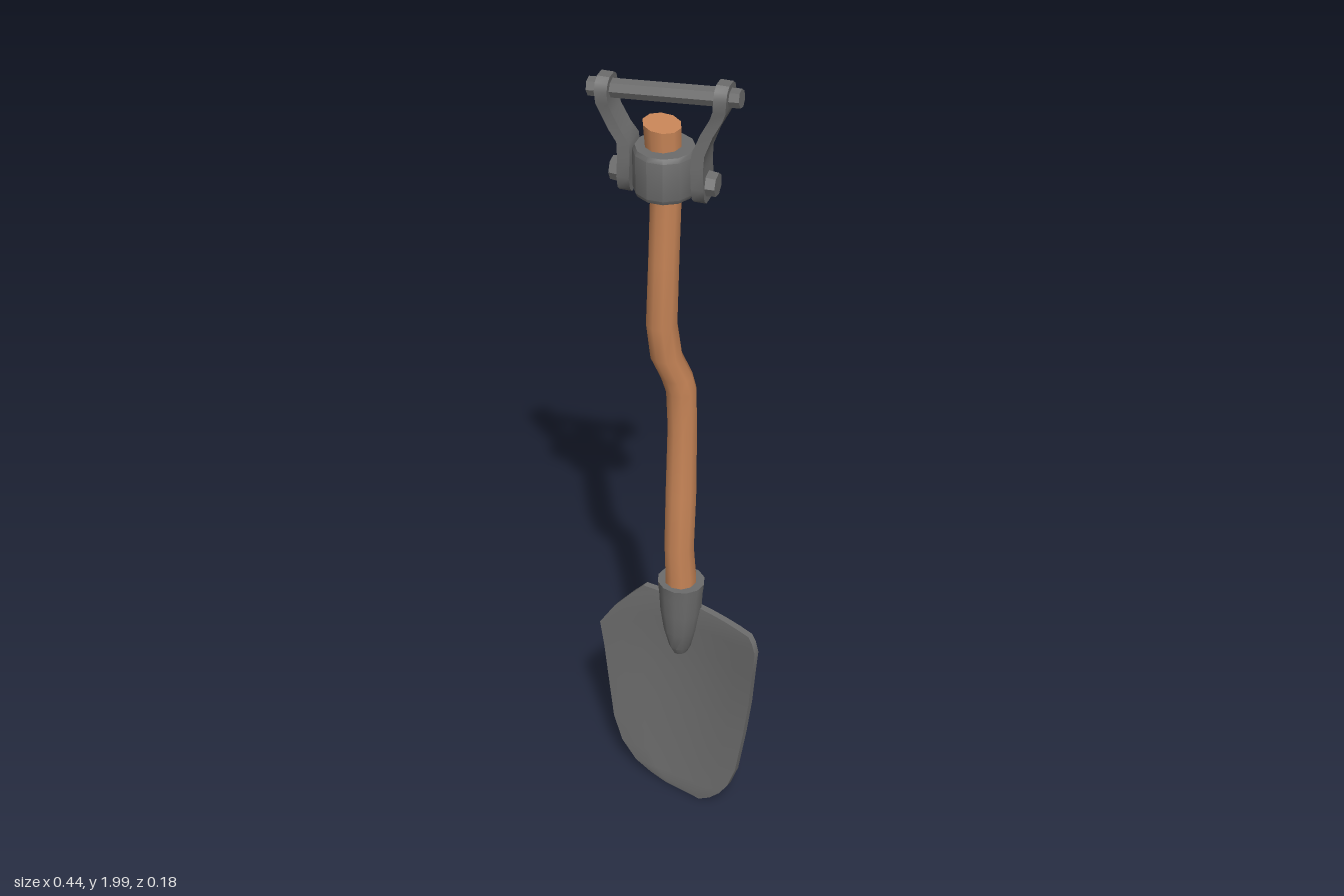
import * as THREE from 'three';
import { toCreasedNormals } from 'three/addons/utils/BufferGeometryUtils.js';

// Skin a stack of rings (counterclockwise from above, bottom to top) and close both ends
function loft(rings, crease = 0.6) {
  const n = rings[0].length, index = [];
  const quad = (a, b, c, d) => index.push(a, b, c, a, c, d);
  for (let i = 0; i < rings.length - 1; i++) {
    for (let j = 0; j < n; j++) {
      const k = (j + 1) % n;
      quad(i * n + j, i * n + k, (i + 1) * n + k, (i + 1) * n + j);
    }
  }
  const top = (rings.length - 1) * n;
  for (let j = 0; j < n / 2 - 1; j++) {
    quad(n - 1 - j, n - 2 - j, j + 1, j);
    quad(top + j, top + j + 1, top + n - 2 - j, top + n - 1 - j);
  }
  const g = new THREE.BufferGeometry();
  g.setAttribute('position', new THREE.Float32BufferAttribute(rings.flat(2), 3));
  g.setIndex(index);
  return toCreasedNormals(g.toNonIndexed(), crease);
}

// Elliptical ring around (x, y, z)
function ring(x, y, z, rx, rz, sides, slope = 0) {
  return Array.from({ length: sides }, (_, i) => {
    const a = ((i + 0.5) / sides) * Math.PI * 2;
    return [x + Math.cos(a) * rx, y + Math.cos(a) * rx * slope, z - Math.sin(a) * rz];
  });
}

export function createModel() {
  const wood = new THREE.MeshStandardMaterial({ color: 0xc98658 });
  wood.name = 'wood';
  const metal = new THREE.MeshStandardMaterial({ color: 0x6c6c6c });
  metal.name = 'metal';

  const model = new THREE.Group();
  model.name = 'shovel';
  const add = (name, geometry, material, parent = model) => {
    const mesh = new THREE.Mesh(geometry, material);
    mesh.name = name;
    parent.add(mesh);
    return mesh;
  };

  // Crooked shaft: y, x, z, radius
  const shaft = [
    [0.55, 0.0, -0.034, 0.036], [0.66, 0.0, -0.034, 0.038], [0.75, 0.0, -0.027, 0.036],
    [0.9, 0.0, -0.034, 0.037], [1.08, 0.0, -0.039, 0.035], [1.19, 0.0, -0.034, 0.036],
    [1.23, -0.006, -0.025, 0.037], [1.29, -0.02, -0.004, 0.037], [1.38, -0.023, 0.009, 0.036],
    [1.55, -0.014, 0.013, 0.035], [1.7, -0.01, 0.011, 0.035], [1.88, -0.013, 0.02, 0.042],
  ];
  add('shaft', loft(shaft.map(([y, x, z, r], i) =>
    ring(x, y, z, r, r, 10, i === shaft.length - 1 ? -0.12 : 0)), 0.7), wood);

  // Blade rows: left and right outline points, dished across and curving forward at the tip
  const outline = [
    [-0.02, 0.008, 0.08, 0.004], [-0.065, 0.02, 0.11, 0.022], [-0.11, 0.04, 0.138, 0.05],
    [-0.153, 0.085, 0.16, 0.085], [-0.18, 0.15, 0.178, 0.14], [-0.2, 0.27, 0.194, 0.26],
    [-0.212, 0.36, 0.206, 0.36], [-0.222, 0.43, 0.214, 0.45], [-0.185, 0.49, 0.222, 0.525],
    [-0.143, 0.54, 0.213, 0.55], [-0.108, 0.578, 0.2, 0.566],
  ];
  const cols = 9;
  const bladeRings = outline.map(([xl, yl, xr, yr], row) => {
    const front = [], back = [];
    for (let c = 0; c < cols; c++) {
      const t = c / (cols - 1);
      const x = xl + (xr - xl) * t, y = yl + (yr - yl) * t;
      const low = Math.max(0, 1 - y / 0.45);
      const z = -0.051 + 0.045 * low ** 1.6 + 0.6 * x * x * (1 - 0.5 * low) - 0.03 * x;
      const rim = c === 0 || c === cols - 1 || row === 0 || row === outline.length - 1;
      const half = rim ? 0.008 : 0.011;
      front.push([x, y, z + half]);
      back.unshift([x, y, z - half]);
    }
    return [...front, ...back];
  });
  add('blade', loft(bladeRings), metal);

  // Tapered socket gripping the shaft: y, x radius, z radius
  const socket = [
    [0.428, 0.017, 0.022], [0.45, 0.027, 0.033], [0.5, 0.04, 0.045],
    [0.56, 0.051, 0.05], [0.61, 0.054, 0.052], [0.643, 0.058, 0.054],
  ];
  add('socket', loft(socket.map(([y, rx, rz]) => ring(0, y, -0.036, rx, rz, 12))), metal);

  // Grip assembly, turned a little about the shaft
  const grip = new THREE.Group();
  grip.name = 'grip';
  grip.position.set(-0.007, 0, 0.018);
  grip.rotation.y = 0.27;
  model.add(grip);

  add('collar', loft([
    ring(0, 1.722, 0, 0.064, 0.064, 12), ring(0, 1.732, 0, 0.069, 0.069, 12),
    ring(0, 1.82, 0, 0.069, 0.069, 12), ring(0, 1.83, 0, 0.064, 0.064, 12),
  ]), metal, grip);

  // Bent flat arms with rounded ends: y, distance out, half width
  const arm = [
    [1.715, 0.083, 0.014], [1.727, 0.083, 0.027], [1.755, 0.083, 0.034], [1.8, 0.081, 0.033],
    [1.835, 0.083, 0.031], [1.87, 0.1, 0.029], [1.91, 0.121, 0.028], [1.93, 0.128, 0.032],
    [1.957, 0.13, 0.034], [1.975, 0.13, 0.027], [1.985, 0.13, 0.014],
  ];
  for (const side of [1, -1]) {
    const label = side > 0 ? 'left' : 'right';
    add(label + 'Arm', loft(arm.map(([y, out, w]) => {
      const u = side * out, t = 0.014;
      const h = y + (y > 1.84 ? side * 0.011 : 0);
      return [[u - t, h, w], [u + t, h, w], [u + t, h, -w], [u - t, h, -w]];
    })), metal, grip);

    const bolt = add(label + 'Bolt', new THREE.CylinderGeometry(0.026, 0.03, 0.04, 7).toNonIndexed(), metal, grip);
    bolt.geometry = toCreasedNormals(bolt.geometry, 0.5);
    bolt.position.set(side * 0.098, 1.757, 0);
    bolt.rotation.z = -side * Math.PI / 2;
  }

  // Crossbar through the arm tops
  const bar = add('crossbar', toCreasedNormals(
    new THREE.CylinderGeometry(0.021, 0.021, 0.335, 7, 4).toNonIndexed(), 0.5), metal, grip);
  bar.position.y = 1.953;
  bar.rotation.z = -Math.PI / 2 + 0.08;

  return model;
}
